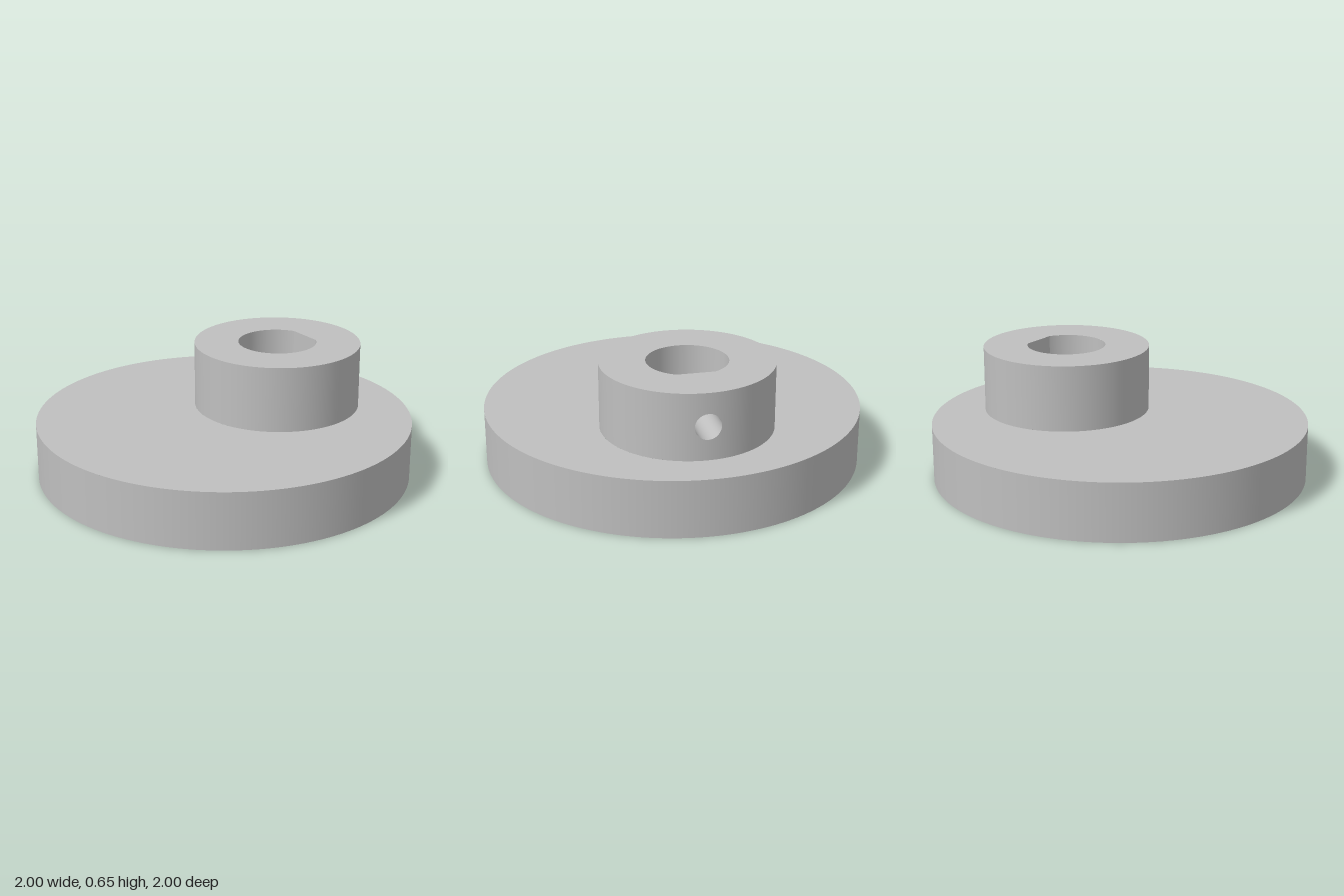
import * as THREE from 'three';
import { ParametricGeometry } from 'three/addons/geometries/ParametricGeometry.js';

const DISC_H = 0.302, TOP = 0.652;
const CX = 0.348, HUB_R = 0.448, BORE_R = 0.211, FLAT = 0.187; // offset hub and D-shaped bore
const HOLE_Y = 0.477, HOLE_R = 0.067;                          // set screw hole along +x
const PATCH_W = 0.16;
const FLAT_W = Math.sqrt(BORE_R ** 2 - FLAT ** 2);
const hubX = (z) => CX + Math.sqrt(HUB_R ** 2 - z * z);
const flatX = () => CX + FLAT;

// Vertical wall along an arc about the hub axis; rising angles face inward
function arcWall(r, t0, t1, y0, y1) {
  return new ParametricGeometry((u, v, p) => {
    const t = t0 + (t1 - t0) * u;
    p.set(CX + r * Math.cos(t), y0 + (y1 - y0) * v, r * Math.sin(t));
  }, 96, 1);
}

// Rectangle of wall around the screw hole, lofted from the circle to the border
function holedPatch(xAt, w, y0, y1, inward) {
  const up = y1 - HOLE_Y, down = HOLE_Y - y0;
  const a = Math.atan2(up, w), b = Math.atan2(down, w);
  const corners = [-b, a, Math.PI - a, Math.PI + b, 2 * Math.PI - b];
  return new ParametricGeometry((u, v, p) => {
    const i = Math.min(3, Math.floor(u * 4));
    const phi = THREE.MathUtils.lerp(corners[i], corners[i + 1], u * 4 - i);
    const c = Math.cos(phi), s = Math.sin(phi);
    const border = Math.min(w / Math.max(Math.abs(c), 1e-9), (s > 0 ? up : down) / Math.max(Math.abs(s), 1e-9));
    const r = THREE.MathUtils.lerp(HOLE_R, border, inward ? 1 - v : v);
    p.set(xAt(r * c), HOLE_Y + r * s, r * c);
  }, 64, 6);
}

// Horizontal face with a hole, looking up or down
function face(cx, r, hole, y, up) {
  const shape = new THREE.Shape().absarc(cx, 0, r, 0, Math.PI * 2, false);
  shape.holes.push(hole);
  return new THREE.ShapeGeometry(shape, 96).rotateX(up ? -Math.PI / 2 : Math.PI / 2).translate(0, y, 0);
}

export function createModel() {
  const model = new THREE.Group();
  const metal = new THREE.MeshStandardMaterial({ color: 0xbfbfbf });
  metal.name = 'grey metal';
  const part = (name, ...geometries) => {
    const group = new THREE.Group();
    group.name = name;
    geometries.forEach((g) => {
      const mesh = new THREE.Mesh(g, metal);
      mesh.name = name + 'Surface';
      group.add(mesh);
    });
    model.add(group);
  };

  const boreA = Math.acos(FLAT / BORE_R);
  const hubA = Math.asin(PATCH_W / HUB_R);
  const full = Math.PI * 2;
  const hubCircle = new THREE.Path().absarc(CX, 0, HUB_R, 0, full, false);
  const dBore = new THREE.Path().absarc(CX, 0, BORE_R, boreA, full - boreA, false);
  dBore.closePath();

  // Round base plate
  part('disc',
    new THREE.CylinderGeometry(1, 1, DISC_H, 128, 1, true).translate(0, DISC_H / 2, 0),
    face(0, 1, hubCircle, DISC_H, true),
    face(0, 1, dBore, 0, false));

  // Off-centre hub
  part('hub',
    arcWall(HUB_R, full - hubA, hubA, DISC_H, TOP),
    holedPatch(hubX, PATCH_W, DISC_H, TOP, false),
    face(CX, HUB_R, dBore, TOP, true));

  // D-shaped shaft bore through hub and disc
  part('shaftBore',
    arcWall(BORE_R, boreA, full - boreA, 0, TOP),
    holedPatch(flatX, FLAT_W, 0, TOP, true));

  // Set screw hole from the hub's side to the flat of the bore
  part('screwHole', new ParametricGeometry((u, v, p) => {
    const z = HOLE_R * Math.cos(u * full);
    p.set(THREE.MathUtils.lerp(flatX(), hubX(z), v), HOLE_Y + HOLE_R * Math.sin(u * full), z);
  }, 48, 1));

  return model;
}
